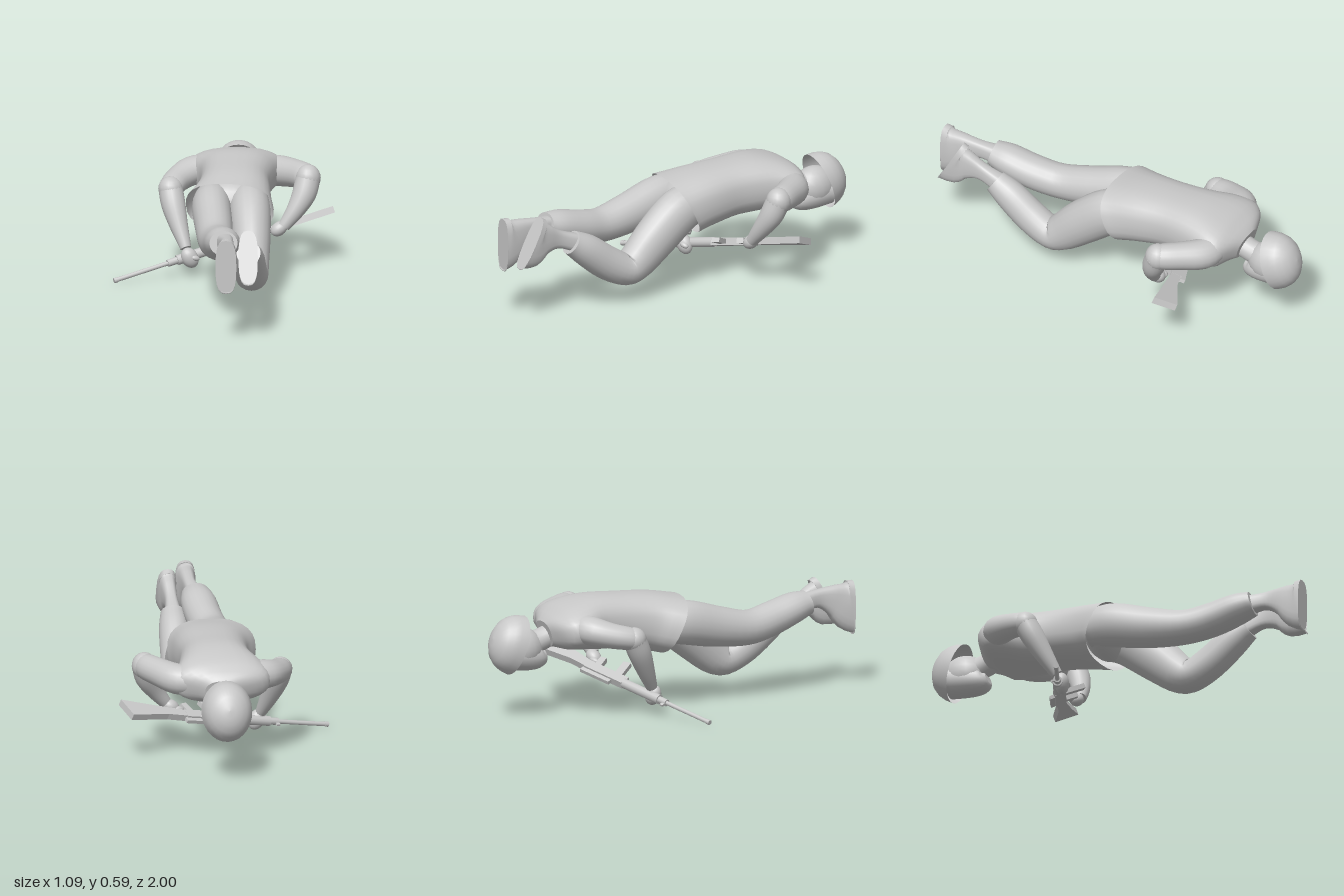
import * as THREE from 'three';

const grey = new THREE.MeshStandardMaterial({ color: 0xc8c8c8, side: THREE.DoubleSide });
grey.name = 'plain grey';

// Smooth loft through sections [x, y, z, halfWidth, halfHeight, tilt]
function loft(sections, { ref = [0, 1, 0], power = 1, openStart = false, segs = 20, steps = 4 } = {}) {
  const path = new THREE.CatmullRomCurve3(sections.map(s => new THREE.Vector3(s[0], s[1], s[2])), false, 'catmullrom', 0.5);
  const size = new THREE.CatmullRomCurve3(sections.map(s => new THREE.Vector3(s[3], s[4], s[5] || 0)), false, 'catmullrom', 0.5);
  const rings = (sections.length - 1) * steps;
  const up0 = new THREE.Vector3(...ref);
  const pos = [], idx = [], ends = [];
  const bend = v => Math.sign(v) * Math.pow(Math.abs(v), power);
  for (let i = 0; i <= rings; i++) {
    const u = i / rings, c = path.getPoint(u), r = size.getPoint(u);
    const t = path.getTangent(u);
    t.y += r.z;
    t.normalize();
    const side = new THREE.Vector3().crossVectors(t, up0).normalize();
    const up = new THREE.Vector3().crossVectors(side, t);
    const ring = [];
    for (let j = 0; j < segs; j++) {
      const a = j / segs * Math.PI * 2;
      const p = c.clone().addScaledVector(side, r.x * bend(Math.cos(a))).addScaledVector(up, r.y * bend(Math.sin(a)));
      ring.push(p);
      pos.push(p.x, p.y, p.z);
    }
    if (i === 0 || i === rings) ends.push({ c, ring });
  }
  for (let i = 0; i < rings; i++) for (let j = 0; j < segs; j++) {
    const a = i * segs + j, b = i * segs + (j + 1) % segs;
    idx.push(a, a + segs, b, b, a + segs, b + segs);
  }
  // flat end caps with their own corners
  ends.forEach(({ c, ring }, e) => {
    if (e === 0 && openStart) return;
    const base = pos.length / 3;
    [c, ...ring].forEach(p => pos.push(p.x, p.y, p.z));
    for (let j = 0; j < segs; j++) {
      const a = base + 1 + j, b = base + 1 + (j + 1) % segs;
      if (e === 0) idx.push(base, a, b); else idx.push(base, b, a);
    }
  });
  const g = new THREE.BufferGeometry();
  g.setAttribute('position', new THREE.Float32BufferAttribute(pos, 3));
  g.setIndex(idx);
  g.computeVertexNormals();
  return g;
}

function add(parent, name, geometry) {
  const m = new THREE.Mesh(geometry, grey);
  m.name = name;
  parent.add(m);
  return m;
}

function ball(parent, name, p, s, rot = [0, 0, 0]) {
  const m = add(parent, name, new THREE.SphereGeometry(1, 18, 12));
  m.position.set(...p);
  m.scale.set(...s);
  m.rotation.set(...rot);
}

function buildRifle() {
  const g = new THREE.Group();
  g.name = 'rifle';
  const rod = (name, x0, x1, r) => {
    const m = add(g, name, new THREE.CylinderGeometry(r, r, x1 - x0, 12));
    m.rotation.z = Math.PI / 2;
    m.position.x = (x0 + x1) / 2;
  };
  const box = (name, x, y, w, h, d, tilt = 0) => {
    const m = add(g, name, new THREE.BoxGeometry(w, h, d));
    m.position.set(x, y, 0);
    m.rotation.z = tilt;
  };
  rod('barrel', 0, 0.32, 0.011);
  rod('muzzle', 0, 0.02, 0.013);
  rod('gasBlock', 0.29, 0.35, 0.018);
  rod('handguard', 0.34, 0.58, 0.025);
  box('frontSight', 0.3, 0.018, 0.018, 0.03, 0.01);
  box('receiver', 0.7, -0.005, 0.25, 0.055, 0.036);
  box('carryHandle', 0.74, 0.033, 0.19, 0.026, 0.018);
  box('magazine', 0.66, -0.075, 0.042, 0.12, 0.024, 0.3);
  box('pistolGrip', 0.79, -0.055, 0.035, 0.08, 0.026, 0.3);
  // stock widens toward the butt
  const s = new THREE.Shape([[0.81, 0.018], [0.93, 0.012], [1.145, 0.034], [1.165, -0.088], [1.0, -0.058], [0.81, -0.03]]
    .map(p => new THREE.Vector2(...p)));
  const stock = new THREE.ExtrudeGeometry(s, { depth: 0.034, bevelEnabled: false });
  stock.translate(0, 0, -0.017);
  add(g, 'stock', stock);

  // lie across the body, magazine side toward the feet
  const along = new THREE.Vector3(1.07, 0.25, -0.43).normalize();
  const top = new THREE.Vector3(-0.3, -0.35, -0.89);
  top.addScaledVector(along, -top.dot(along)).normalize();
  const across = new THREE.Vector3().crossVectors(along, top);
  g.quaternion.setFromRotationMatrix(new THREE.Matrix4().makeBasis(along, top, across));
  g.position.set(-0.54, 0.015, -0.085);
  return g;
}

export function createModel() {
  const root = new THREE.Group();
  root.name = 'crawlingSoldier';

  // Jacket, open at the hem
  add(root, 'jacket', loft([
    [0.035, 0.413, -0.03, 0.22, 0.152, 0.27],
    [0.05, 0.435, -0.15, 0.188, 0.145, 0.12],
    [0.055, 0.45, -0.3, 0.172, 0.137],
    [0.06, 0.455, -0.45, 0.19, 0.136],
    [0.055, 0.45, -0.57, 0.235, 0.117],
    [0.055, 0.435, -0.645, 0.225, 0.095, 0.1],
    [0.058, 0.415, -0.7, 0.09, 0.065, 0.1],
  ], { power: 0.8, openStart: true, segs: 28 }));
  ball(root, 'hips', [0.04, 0.42, -0.06], [0.17, 0.12, 0.1]);

  // Neck and downturned head
  add(root, 'neck', loft([[0.06, 0.41, -0.66, 0.06, 0.055], [0.06, 0.38, -0.74, 0.056, 0.058], [0.06, 0.36, -0.82, 0.06, 0.07]]));
  ball(root, 'head', [0.06, 0.35, -0.83], [0.088, 0.105, 0.115]);
  add(root, 'face', loft([
    [0.06, 0.315, -0.705, 0.04, 0.03], [0.06, 0.305, -0.735, 0.065, 0.06],
    [0.06, 0.31, -0.8, 0.08, 0.073], [0.06, 0.325, -0.9, 0.085, 0.08],
  ]));

  // Helmet dome with a slightly flared rim
  const profile = [[1, -0.01], [0.95, 0.03], [0.86, 0.062], [0.71, 0.09], [0.48, 0.112], [0.24, 0.123], [0, 0.126]];
  const helmet = add(root, 'helmet', new THREE.LatheGeometry(profile.map(p => new THREE.Vector2(...p)), 28));
  helmet.scale.set(0.127, 1, 0.152);
  helmet.position.set(0.06, 0.373, -0.868);
  helmet.rotation.x = -Math.atan2(0.945, 0.326);

  // Sleeves
  const armRef = { ref: [0.1, 0.25, 1] };
  add(root, 'rightUpperArm', loft([
    [-0.08, 0.46, -0.575, 0.075, 0.07], [-0.165, 0.452, -0.55, 0.08, 0.072],
    [-0.23, 0.432, -0.47, 0.068, 0.063], [-0.263, 0.415, -0.38, 0.062, 0.056], [-0.265, 0.4, -0.34, 0.045, 0.04],
  ]));
  ball(root, 'rightElbow', [-0.267, 0.412, -0.367], [0.061, 0.061, 0.062]);
  add(root, 'rightForearm', loft([
    [-0.268, 0.42, -0.37, 0.06, 0.058], [-0.252, 0.34, -0.33, 0.06, 0.058],
    [-0.222, 0.24, -0.28, 0.045, 0.045], [-0.188, 0.145, -0.23, 0.028, 0.029],
  ], armRef));
  add(root, 'leftUpperArm', loft([
    [0.2, 0.45, -0.59, 0.078, 0.075], [0.275, 0.45, -0.565, 0.08, 0.076],
    [0.35, 0.46, -0.485, 0.07, 0.07], [0.406, 0.465, -0.405, 0.063, 0.065], [0.415, 0.46, -0.36, 0.045, 0.045],
  ]));
  ball(root, 'leftElbow', [0.414, 0.465, -0.39], [0.063, 0.068, 0.063]);
  add(root, 'leftForearm', loft([
    [0.415, 0.47, -0.39, 0.062, 0.06], [0.395, 0.39, -0.36, 0.06, 0.058],
    [0.35, 0.31, -0.33, 0.045, 0.045], [0.295, 0.235, -0.31, 0.03, 0.03],
  ], armRef));

  // Hands gripping the weapon
  ball(root, 'rightHand', [-0.168, 0.1, -0.212], [0.042, 0.055, 0.036], [0, 0.3, 0.5]);
  ball(root, 'rightThumb', [-0.142, 0.103, -0.195], [0.025, 0.014, 0.016], [0, 0.3, -0.3]);
  ball(root, 'leftHand', [0.272, 0.222, -0.32], [0.046, 0.034, 0.036], [0, 0.3, 0.6]);
  ball(root, 'leftThumb', [0.235, 0.212, -0.335], [0.028, 0.014, 0.016], [0, 0.4, 0.2]);
  root.add(buildRifle());

  // Trailing right leg
  add(root, 'rightTrouserLeg', loft([
    [-0.05, 0.43, -0.1, 0.09, 0.1], [-0.055, 0.425, 0.02, 0.097, 0.112],
    [-0.04, 0.385, 0.2, 0.094, 0.103], [-0.025, 0.36, 0.38, 0.088, 0.088],
    [0.0, 0.385, 0.52, 0.09, 0.086], [0.015, 0.425, 0.65, 0.088, 0.078], [0.022, 0.445, 0.735, 0.07, 0.062],
  ]));
  add(root, 'rightBoot', loft([
    [0.025, 0.44, 0.7, 0.045, 0.048], [0.04, 0.455, 0.8, 0.033, 0.045],
    [0.042, 0.44, 0.89, 0.04, 0.078], [0.042, 0.405, 0.96, 0.05, 0.125, 0.35], [0.04, 0.395, 0.995, 0.052, 0.137, 0.27],
  ], { power: 0.7 }));

  // Left leg with the knee drawn down
  add(root, 'leftTrouserLeg', loft([
    [0.125, 0.44, -0.1, 0.095, 0.1], [0.135, 0.41, 0.02, 0.103, 0.118],
    [0.145, 0.305, 0.16, 0.096, 0.115], [0.15, 0.205, 0.275, 0.086, 0.098],
    [0.152, 0.175, 0.345, 0.083, 0.082], [0.15, 0.23, 0.455, 0.08, 0.085],
    [0.147, 0.32, 0.575, 0.075, 0.08], [0.144, 0.375, 0.66, 0.06, 0.062],
  ]));
  add(root, 'leftBoot', loft([
    [0.144, 0.365, 0.62, 0.043, 0.048], [0.142, 0.405, 0.73, 0.032, 0.045],
    [0.145, 0.42, 0.81, 0.038, 0.08, 0.1], [0.147, 0.412, 0.87, 0.046, 0.128, 0.45], [0.148, 0.418, 0.905, 0.048, 0.14, 0.35],
  ], { power: 0.7 }));

  return root;
}
